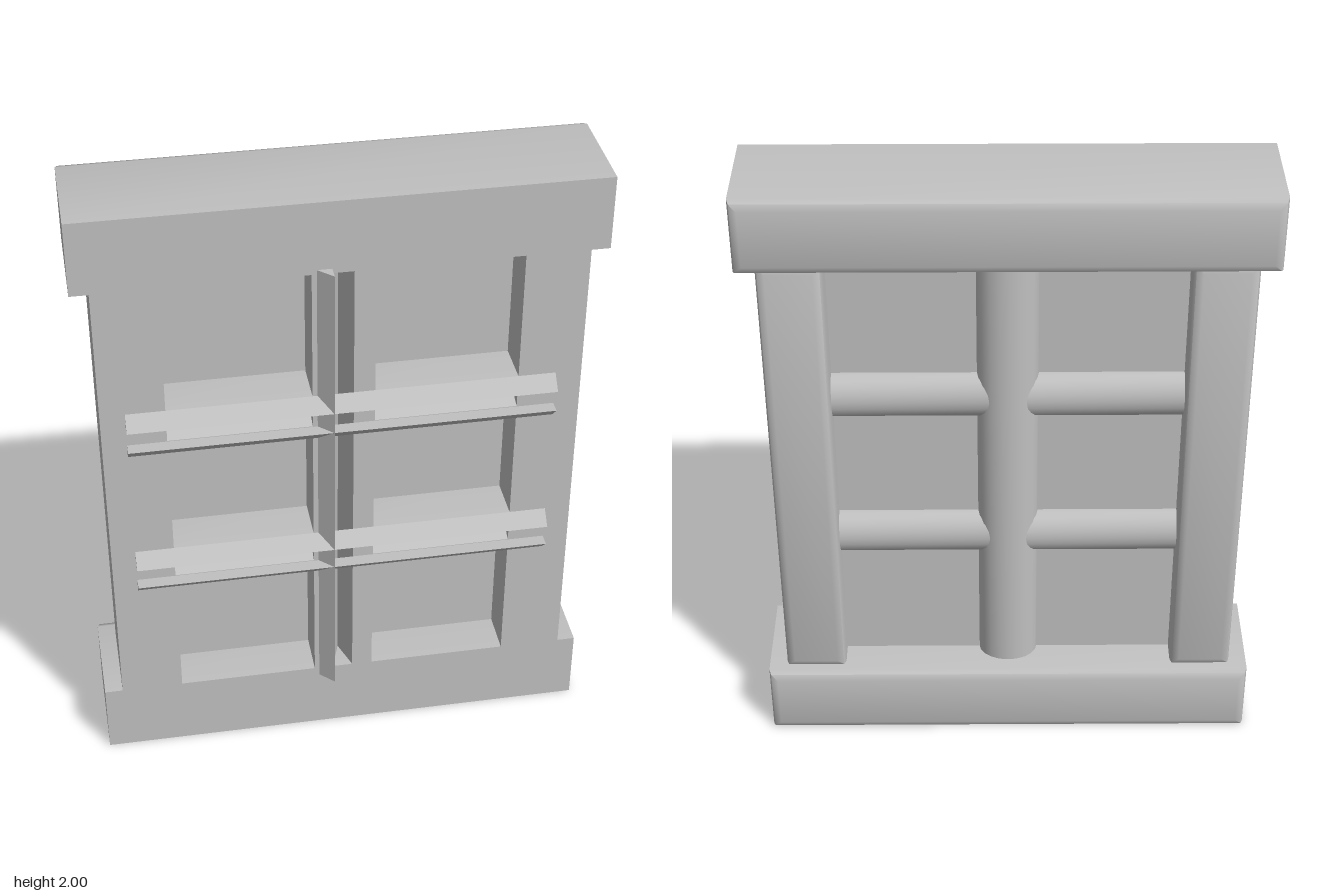
import * as THREE from 'three';
import { toCreasedNormals } from 'three/addons/utils/BufferGeometryUtils.js';

const FRONT = 0.155;

export function createModel() {
  const group = new THREE.Group();
  const grey = new THREE.MeshStandardMaterial({ color: 0xc0c0c0 });
  grey.name = 'plain grey';

  function add(name, geometry) {
    const mesh = new THREE.Mesh(geometry, grey);
    mesh.name = name;
    group.add(mesh);
  }

  // Block with a flat front and softened rear chamfers, lofted from rectangles
  function block(x0, x1, y0, y1, back, r) {
    const loops = [[0, FRONT], [0, back + r], [r * 0.25, back + r * 0.3], [r, back]];
    const pos = [], idx = [];
    for (const [d, z] of loops) {
      pos.push(x0 + d, y0 + d, z, x1 - d, y0 + d, z, x1 - d, y1 - d, z, x0 + d, y1 - d, z);
    }
    for (let l = 0; l < loops.length - 1; l++) {
      for (let k = 0; k < 4; k++) {
        const a = l * 4 + k, b = l * 4 + (k + 1) % 4;
        idx.push(a, a + 4, b, b, a + 4, b + 4);
      }
    }
    const e = (loops.length - 1) * 4;
    idx.push(0, 1, 2, 0, 2, 3, e, e + 2, e + 1, e, e + 3, e + 2);
    const g = new THREE.BufferGeometry();
    g.setAttribute('position', new THREE.Float32BufferAttribute(pos, 3));
    g.setIndex(idx);
    return toCreasedNormals(g, 0.9);
  }

  // Extrude a section of [across, z] points along y or along x
  function bar(points, from, to, alongX) {
    const shape = new THREE.Shape(points.map(([c, z]) =>
      alongX ? new THREE.Vector2(-z, c) : new THREE.Vector2(c, -z)));
    const g = new THREE.ExtrudeGeometry(shape, { depth: to - from, bevelEnabled: false });
    g.translate(0, 0, from);
    if (alongX) g.rotateY(Math.PI / 2);
    else g.rotateX(-Math.PI / 2);
    return toCreasedNormals(g, 0.6);
  }

  // Glazing bar section: grooved front, rounded back
  function section(c, half, back, lo, hi, grooveZ) {
    const pts = [[c - half, FRONT], [c + lo, FRONT], [c + (lo + hi) / 2, grooveZ],
      [c + hi, FRONT], [c + half, FRONT]];
    const side = -0.05;
    for (let i = 0; i <= 10; i++) {
      const a = (i / 10) * Math.PI;
      pts.push([c + half * Math.cos(a), side + (back - side) * Math.sin(a)]);
    }
    return pts;
  }

  // Outer frame
  add('bottomRail', block(-0.787, 0.787, 0, 0.24, -0.198, 0.028));
  add('topRail', block(-0.787, 0.787, 1.765, 2, -0.198, 0.028));
  add('rightStile', block(-0.73, -0.535, 0.235, 1.77, -0.155, 0.028));
  add('leftStile', block(0.535, 0.73, 0.235, 1.77, -0.155, 0.028));

  // Panel behind the six openings
  const pane = new THREE.BoxGeometry(1.08, 1.54, 0.07);
  pane.translate(0, 1, -0.02);
  add('pane', pane);

  // Upright glazing bar and its raised front lip
  add('mullion', bar(section(0, 0.095, -0.125, -0.035, 0.03, 0.06), 0.24, 1.765, false));
  add('mullionLip', bar([[-0.08, FRONT], [-0.035, FRONT], [-0.035, 0.198]], 0.21, 1.78, false));

  // Cross bars running into the upright, each with an upper and a lower lip
  for (const y of [0.738, 1.263]) {
    for (const [from, to] of [[-0.54, -0.035], [0.035, 0.54]]) {
      add('crossBar', bar(section(y, 0.077, -0.11, -0.033, 0.033, 0.07), from, to, true));
    }
    for (const s of [-1, 1]) {
      add('crossBarLip', bar([[y + s * 0.035, FRONT], [y + s * 0.035, 0.197],
        [y + s * 0.078, FRONT]], -0.655, 0.65, true));
    }
  }
  return group;
}
